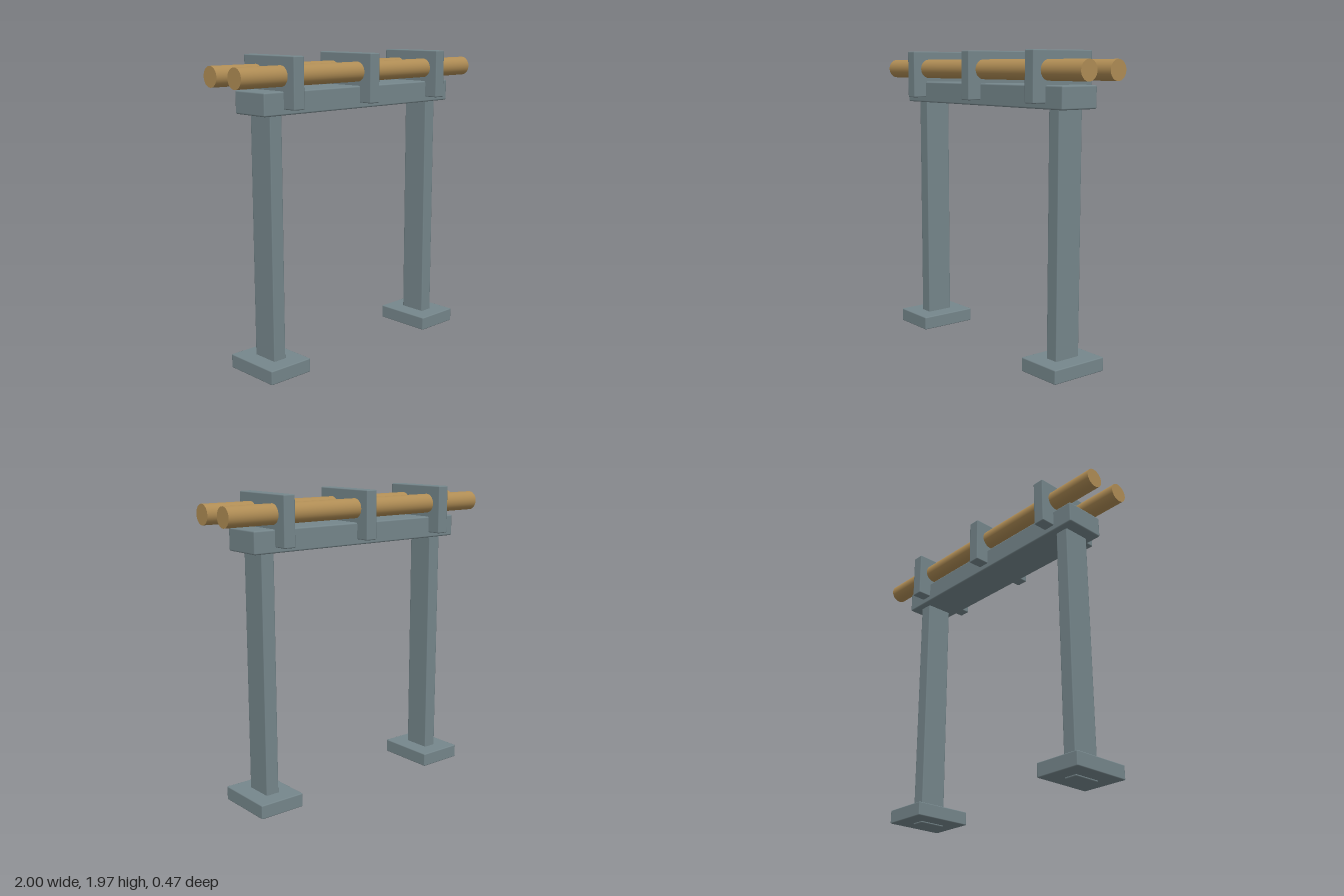
import * as THREE from 'three';
import { RoundedBoxGeometry } from 'three/addons/geometries/RoundedBoxGeometry.js';

export function createModel() {
  const model = new THREE.Group();
  model.name = 'pipeRack';
  const steel = new THREE.MeshStandardMaterial({ name: 'greySteel', color: 0x76878c });
  const brass = new THREE.MeshStandardMaterial({ name: 'brass', color: 0xb08d55 });

  // Steel block with a fine bevel, placed by its bottom and top heights
  function block(name, x, width, bottom, top, depth, bevel = 0.007) {
    const geometry = new RoundedBoxGeometry(width, top - bottom, depth, 1, bevel);
    const mesh = new THREE.Mesh(geometry, steel);
    mesh.name = name;
    mesh.position.set(x, (bottom + top) / 2, 0);
    model.add(mesh);
  }

  // Posts standing in foot plates, slightly proud underneath
  for (const [side, sign] of [['left', 1], ['right', -1]]) {
    block(side + 'Foot', sign * 0.688, 0.31, 0.01, 0.1, 0.4);
    block(side + 'Post', sign * 0.688, 0.09, 0, 1.65, 0.185);
  }

  // Cross beam
  block('crossBeam', 0, 1.62, 1.62, 1.76, 0.276, 0.01);

  // Three saddles straddling the beam
  ['rightSaddle', 'middleSaddle', 'leftSaddle'].forEach((name, i) => {
    block(name, (i - 1) * 0.625, 0.08, 1.655, 1.965, 0.465);
  });

  // Two pipes running through the saddles
  const pipeGeometry = new THREE.CylinderGeometry(0.0625, 0.0625, 2, 32);
  for (const [name, z] of [['frontPipe', 0.114], ['backPipe', -0.114]]) {
    const pipe = new THREE.Mesh(pipeGeometry, brass);
    pipe.name = name;
    pipe.rotation.z = Math.PI / 2;
    pipe.position.set(0, 1.848, z);
    model.add(pipe);
  }
  return model;
}
